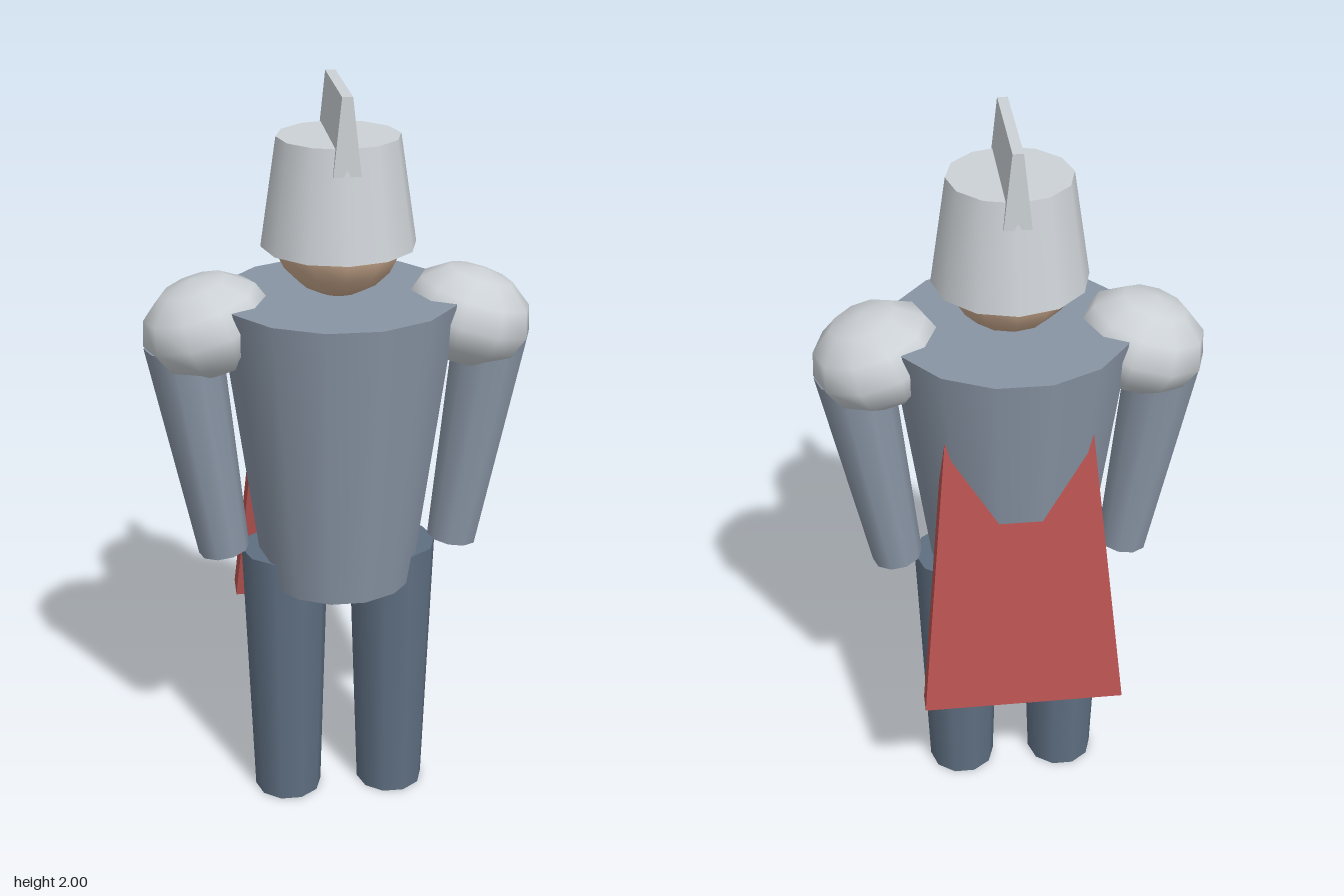
import * as THREE from 'three';

const mat = (name, color) => {
  const m = new THREE.MeshStandardMaterial({ color });
  m.name = name;
  return m;
};

export function createModel() {
  const silver = mat('polished silver', 0xcdd2d6);
  const steel = mat('steel blue', 0x8995a5);
  const slate = mat('dark slate', 0x5f6f82);
  const red = mat('cape red', 0xb85452);
  const skin = mat('skin', 0xd2b094);

  const model = new THREE.Group();
  model.name = 'armouredFigure';
  const body = new THREE.Group();
  body.name = 'body';
  body.position.z = 0.015;
  model.add(body);

  const add = (parent, name, geometry, material, x, y, z = 0) => {
    const mesh = new THREE.Mesh(geometry, material);
    mesh.name = name;
    mesh.position.set(x, y, z);
    parent.add(mesh);
    return mesh;
  };
  // Tapered column with a corner pointing along x
  const column = (top, bottom, height, sides) =>
    new THREE.CylinderGeometry(top, bottom, height, sides, 1, false, Math.PI / 2);

  // Torso, head and helmet
  add(body, 'torso', column(0.31, 0.205, 0.79, 14), steel, 0, 1.075);
  add(body, 'head', new THREE.SphereGeometry(0.17, 12, 10), skin, 0, 1.64);
  add(body, 'helmet', column(0.155, 0.197, 0.275, 12), silver, 0, 1.7375);

  // Crest: a wedge running front to back
  const wedge = new THREE.Shape([
    new THREE.Vector2(-0.034, 0), new THREE.Vector2(0.034, 0),
    new THREE.Vector2(0.013, 0.19), new THREE.Vector2(-0.013, 0.19),
  ]);
  const crest = new THREE.ExtrudeGeometry(wedge, { depth: 0.325, bevelEnabled: false });
  add(body, 'crest', crest, silver, 0, 1.81, -0.1625);

  for (const [side, s] of [['left', 1], ['right', -1]]) {
    // Drooping shoulder guard
    const guard = add(body, side + 'ShoulderGuard',
      new THREE.SphereGeometry(0.172, 10, 6), silver, s * 0.335, 1.4);
    guard.scale.y = 0.74;
    guard.rotation.z = -s * 0.3;

    // Arm, leaning inward towards the hand
    const arm = add(body, side + 'Arm', column(0.1, 0.068, 0.6, 10), steel, s * 0.355, 1.06);
    arm.rotation.z = -s * 0.15;

    add(body, side + 'Leg', column(0.117, 0.093, 0.76, 10), slate, s * 0.146, 0.38);
  }

  // Cape: a flared slab hanging away from the back
  const flare = new THREE.Shape([
    new THREE.Vector2(-0.265, 0), new THREE.Vector2(0.265, 0),
    new THREE.Vector2(0.17, 0.95), new THREE.Vector2(-0.17, 0.95),
  ]);
  const cape = add(model, 'cape',
    new THREE.ExtrudeGeometry(flare, { depth: 0.07, bevelEnabled: false }), red, 0, 0.485, -0.317);
  cape.rotation.x = 0.16;

  return model;
}
